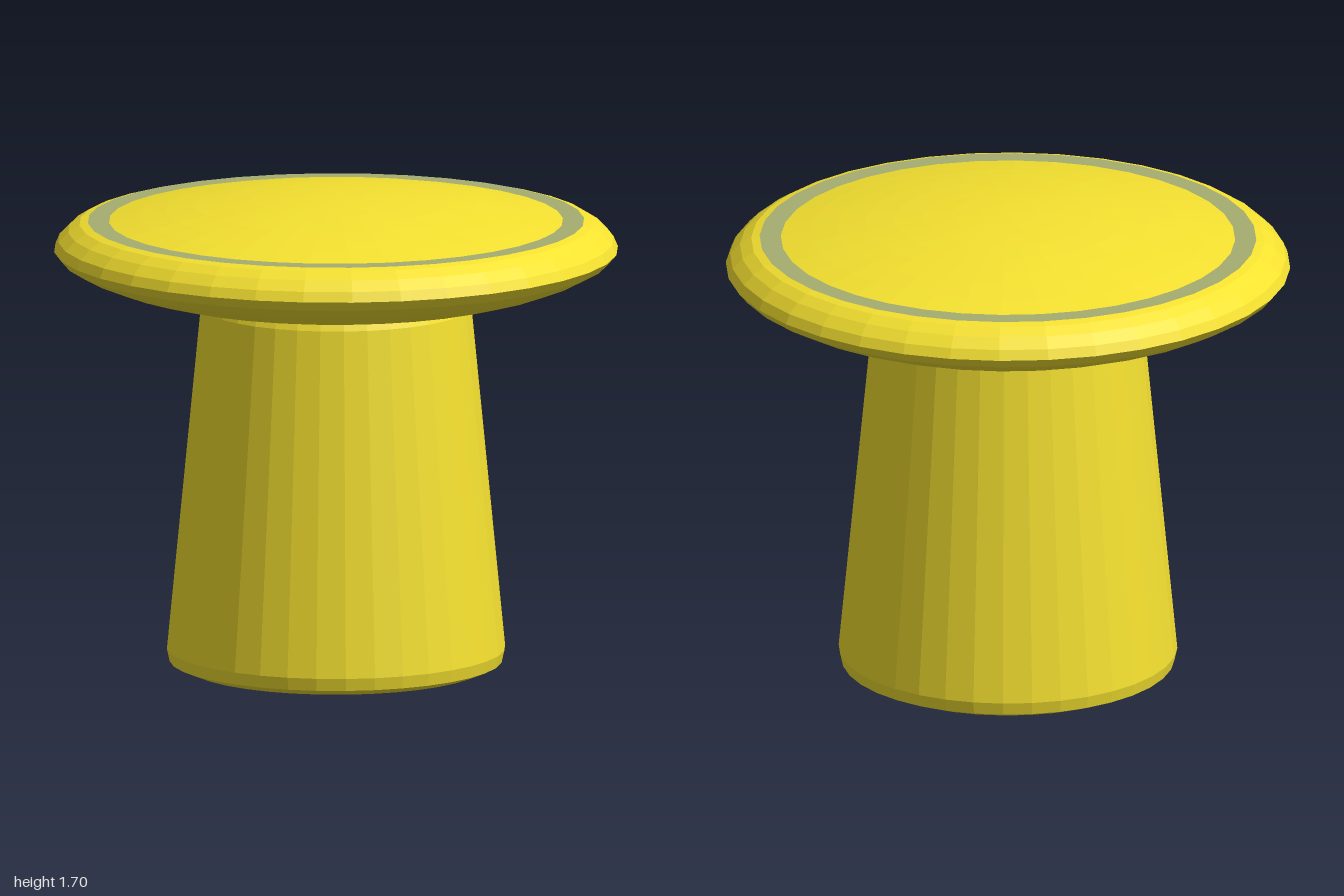
import * as THREE from 'three';

const SIDES = 36;
const YELLOW = 0xf5e130;

// Faceted solid of revolution from [radius, height] points, listed bottom to top on the outside
function turned(name, points, color) {
  const profile = points.map(([r, y]) => new THREE.Vector2(r, y));
  const material = new THREE.MeshStandardMaterial({ color, flatShading: true });
  const mesh = new THREE.Mesh(new THREE.LatheGeometry(profile, SIDES), material);
  mesh.name = name;
  return mesh;
}

export function createModel() {
  const model = new THREE.Group();
  model.name = 'mushroomKnob';

  // Tapered stem with chamfered ends and a blind bore in its foot
  model.add(turned('stem', [
    [0, 0.8], [0.13, 0.8], [0.13, 0],
    [0.53, 0], [0.59, 0.025], [0.6, 0.07],
    [0.48, 1.3], [0.47, 1.325], [0.43, 1.335], [0, 1.335],
  ], YELLOW));

  // Shallow rounded underside and rolled rim of the cap
  model.add(turned('capRim', [
    [0, 1.333], [0.43, 1.333], [0.58, 1.346], [0.7, 1.367], [0.81, 1.397],
    [0.9, 1.432], [0.97, 1.47], [1, 1.505],
    [0.985, 1.54], [0.95, 1.575], [0.91, 1.6], [0.88, 1.608],
  ], YELLOW));

  // Flat inlaid band around the dome
  model.add(turned('inlayRing', [[0.88, 1.608], [0.805, 1.608]], 0xa6ae70));

  // Gently domed top, an arc falling from the centre to the band
  const dome = [];
  for (let i = 0; i <= 8; i++) {
    const r = 0.805 * (1 - i / 8);
    dome.push([r, 1.698 - 0.09 * (r / 0.805) ** 2]);
  }
  model.add(turned('dome', dome, YELLOW));

  return model;
}
